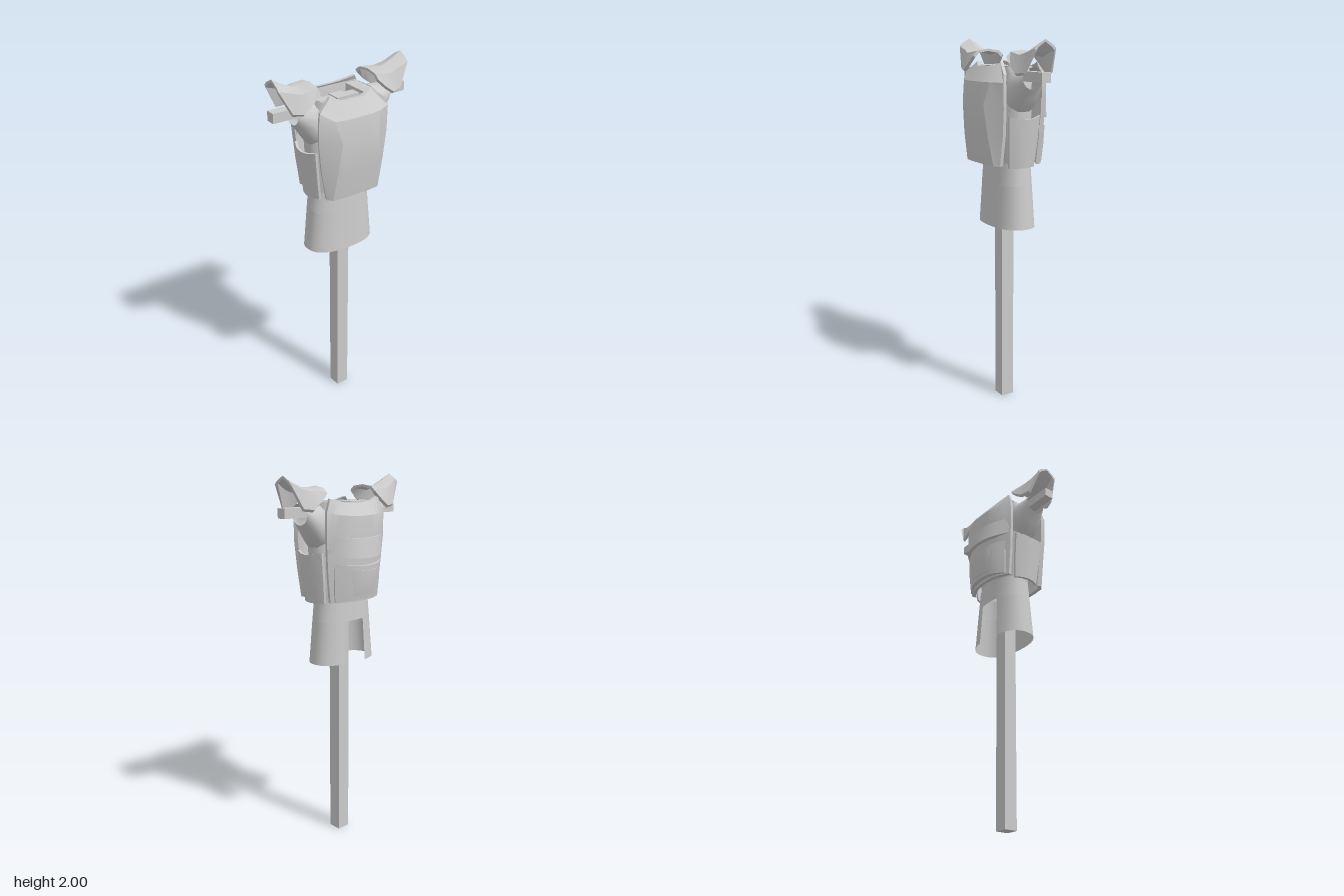
import * as THREE from 'three';
import { toCreasedNormals } from 'three/addons/utils/BufferGeometryUtils.js';

const material = new THREE.MeshStandardMaterial({ color: 0xcccccc, side: THREE.DoubleSide });

function makeMesh(name, geometry) {
  const mesh = new THREE.Mesh(geometry, material);
  mesh.name = name;
  return mesh;
}

// Joins rows of [x, y, z] points into a surface; capped closes a two-sided plate at both ends
function loft(name, rows, { closed = true, capped = false, crease = 0.5 } = {}) {
  const n = rows[0].length, index = [];
  const quad = (a, b, c, d) => index.push(a, b, c, a, c, d);
  for (let r = 0; r < rows.length - 1; r++) {
    for (let i = 0; i < (closed ? n : n - 1); i++) {
      const j = (i + 1) % n;
      quad(r * n + i, r * n + j, (r + 1) * n + j, (r + 1) * n + i);
    }
  }
  if (capped) {
    const last = (rows.length - 1) * n;
    for (let i = 0; i < n / 2 - 1; i++) {
      quad(n - 1 - i, n - 2 - i, i + 1, i);
      quad(last + i, last + i + 1, last + n - 2 - i, last + n - 1 - i);
    }
  }
  const geometry = new THREE.BufferGeometry();
  geometry.setAttribute('position', new THREE.Float32BufferAttribute(rows.flat(2), 3));
  geometry.setIndex(index);
  return makeMesh(name, toCreasedNormals(geometry, crease));
}

// Plate with thickness: inner() maps each outer point to its inner partner
function plate(name, rows, inner, crease) {
  const rings = rows.map((row) => [...row, ...row.map(inner).reverse()]);
  return loft(name, rings, { capped: true, crease });
}

// Mirrors a half row (centre to side) across x = 0
const mirrorRow = (half) => [...half.slice(1).reverse().map(([x, y, z]) => [-x, y, z]), ...half];

// Level rounded ring, starting at the back; power below 1 makes it squarer
function ring(y, halfWidth, halfDepth, zc = 0, power = 0.85, gap = 0, n = 32) {
  const soft = (v) => Math.sign(v) * Math.abs(v) ** power;
  return Array.from({ length: n + 1 }, (_, i) => {
    const a = gap + (i / n) * (Math.PI * 2 - 2 * gap);
    return [halfWidth * soft(Math.sin(a)), y, zc - halfDepth * soft(Math.cos(a))];
  });
}

// Rounded back row: centre height and depth, side height, depth and half width
const backProfile = [[0, 1], [0.28, 0.93], [0.5, 0.8], [0.68, 0.58], [0.84, 0.31], [1, 0]];
const backRow = ([yc, zc, ys, zs, w]) =>
  mirrorRow(backProfile.map(([u, d]) => [u * w, ys + (yc - ys) * d, zs + (zc - zs) * d]));

export function createModel() {
  const model = new THREE.Group();

  // Stand: post and crossbar
  const post = makeMesh('post', new THREE.BoxGeometry(0.074, 1.85, 0.074));
  post.position.set(0, 0.925, 0.015);
  const bar = makeMesh('crossbar', new THREE.BoxGeometry(0.785, 0.05, 0.052));
  bar.position.set(0, 1.82, 0.013);
  model.add(post, bar);

  // Skirt: full band above, lower part split at the back
  const skirt = new THREE.Group();
  skirt.name = 'skirt';
  skirt.add(
    loft('skirtBand', [ring(1.37, 0.165, 0.098), ring(1.25, 0.177, 0.104)], { closed: false }),
    loft('skirtHem', [ring(1.25, 0.177, 0.104, 0, 0.85, 0.32), ring(1.02, 0.198, 0.116, 0, 0.85, 0.32)], { closed: false })
  );
  model.add(skirt);

  // Padded shirt with square neck that folds down to the post
  model.add(loft('shirt', [
    ring(1.36, 0.165, 0.09, 0.005), ring(1.5, 0.185, 0.098, 0.01), ring(1.62, 0.195, 0.1, 0.012),
    ring(1.74, 0.195, 0.097, 0.012), ring(1.82, 0.185, 0.094, 0.012, 0.6), ring(1.868, 0.165, 0.092, 0.013, 0.4),
  ], { closed: false, crease: 0.8 }));
  const rect = (y, w, d) => [[-w, y, 0.014 - d], [w, y, 0.014 - d], [w, y, 0.014 + d], [-w, y, 0.014 + d]];
  model.add(loft('neckOpening', [
    rect(1.868, 0.16, 0.09), rect(1.86, 0.103, 0.089), rect(1.8, 0.1, 0.087), rect(1.75, 0.037, 0.037),
  ], { crease: 0.2 }));

  // Breastplate, half rows from the centre to the side
  const front = [
    [[0, 1.865, 0.14], [0.065, 1.865, 0.138], [0.12, 1.885, 0.108], [0.195, 1.83, 0.135]],
    [[0, 1.79, 0.19], [0.065, 1.79, 0.19], [0.135, 1.79, 0.178], [0.205, 1.79, 0.143]],
    [[0, 1.68, 0.205], [0.065, 1.68, 0.205], [0.11, 1.68, 0.203], [0.205, 1.66, 0.14]],
    [[0, 1.52, 0.192], [0.07, 1.52, 0.192], [0.125, 1.52, 0.188], [0.19, 1.52, 0.137]],
    [[0, 1.365, 0.17], [0.075, 1.365, 0.17], [0.14, 1.365, 0.163], [0.163, 1.365, 0.138]],
  ].map(mirrorRow);
  model.add(plate('breastplate', front, ([x, y, z]) => [x * 0.96, y, z - 0.022], 0.4));

  // Backplate and the raised plates upon it
  const thin = (t) => ([x, y, z]) => [x * 0.97, y, z + t];
  model.add(plate('backplate', [
    [1.862, -0.125, 1.887, -0.1, 0.17], [1.8, -0.172, 1.82, -0.112, 0.203], [1.7, -0.178, 1.7, -0.112, 0.205],
    [1.52, -0.17, 1.52, -0.105, 0.19], [1.36, -0.15, 1.36, -0.1, 0.17],
  ].map(backRow), thin(0.02)));
  model.add(plate('upperBackPlate', [
    [1.69, -0.193, 1.705, -0.115, 0.195], [1.59, -0.207, 1.61, -0.118, 0.188],
  ].map(backRow), thin(0.022)));
  model.add(plate('lowerBackPlate', [
    [1.55, -0.198, 1.565, -0.125, 0.168], [1.46, -0.193, 1.46, -0.125, 0.162], [1.375, -0.175, 1.365, -0.12, 0.155],
  ].map(backRow), thin(0.024)));
  model.add(plate('lowerBackPanel', [
    [1.525, -0.204, 1.54, -0.145, 0.135], [1.46, -0.199, 1.46, -0.143, 0.13], [1.395, -0.183, 1.39, -0.137, 0.125],
  ].map(backRow), thin(0.015)));

  for (const side of [1, -1]) {
    const word = side > 0 ? 'left' : 'right';

    // Sleeve: ellipses tapering outward
    const sleeve = [[0.14, 1.745, 0.125, 0.088], [0.19, 1.748, 0.115, 0.09], [0.24, 1.782, 0.075, 0.075], [0.275, 1.81, 0.055, 0.06]];
    model.add(loft(word + 'Sleeve', sleeve.map(([x, yc, ry, rz]) =>
      Array.from({ length: 16 }, (_, i) => {
        const a = (i / 16) * Math.PI * 2;
        return [side * x, yc + ry * Math.cos(a), 0.012 + rz * Math.sin(a)];
      })), { crease: 0.9 }));

    // Side plate under the arm
    const flank = [[1.62, 0.234, 0.108, -0.075], [1.48, 0.219, 0.1, -0.07], [1.352, 0.203, 0.09, -0.06]];
    model.add(plate(word + 'SidePlate', flank.map(([y, x, zf, zb]) =>
      [[0, -0.026], [0.25, -0.006], [0.5, 0], [0.75, -0.006], [1, -0.026]].map(([t, dx]) =>
        [side * (x + dx), y - 0.016 * Math.sin(t * Math.PI) * (y > 1.6 ? 1 : 0), zf + (zb - zf) * t])
    ), ([x, y, z]) => [x - side * 0.014, y, z]));

    // Shoulder guard: x, ridge height, bend height, edge height, back z, front z
    const guard = [
      [0.17, 1.948, 1.938, 1.915, -0.082, 0.105],
      [0.215, 1.942, 1.932, 1.872, -0.09, 0.113],
      [0.265, 1.943, 1.925, 1.836, -0.09, 0.115],
      [0.318, 1.966, 1.94, 1.842, -0.073, 0.099],
      [0.378, 2.0, 1.975, 1.958, -0.05, 0.075],
    ];
    model.add(plate(word + 'ShoulderGuard', guard.map(([x, top, bend, edge, zb, zf]) =>
      [[edge, zb], [bend, 0.013 + (zb - 0.013) * 0.72], [top, 0.013], [bend, 0.013 + (zf - 0.013) * 0.72], [edge, zf]]
        .map(([y, z]) => [side * x, y, z])
    ), ([x, y, z]) => [x, y - 0.012, 0.013 + (z - 0.013) * 0.86], 0.45));
  }

  return model;
}
